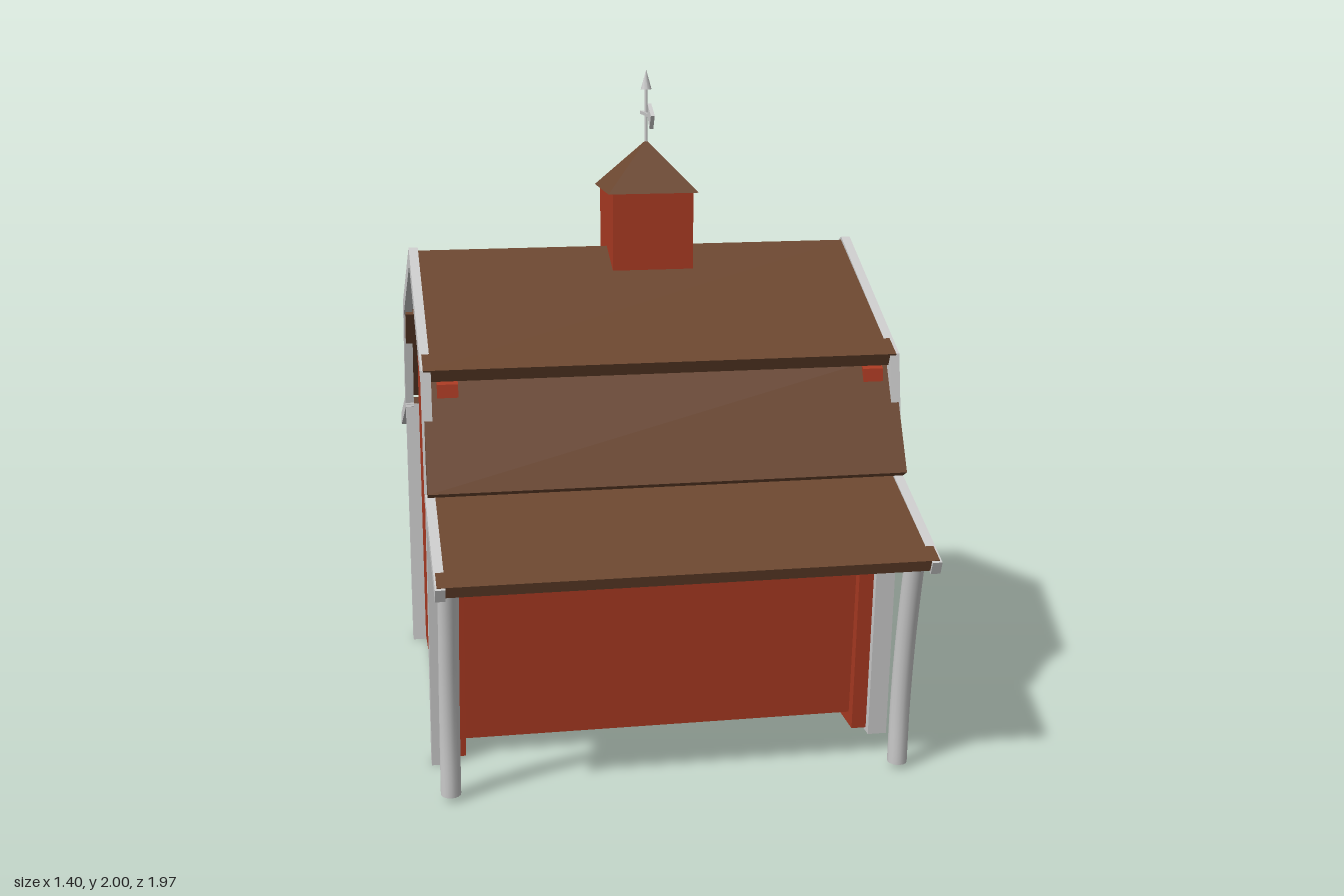
import * as THREE from 'three';

const mat = (name, color) => new THREE.MeshStandardMaterial({ name, color });

export function createModel() {
  const red = mat('barn red', 0xaa3a22);
  const brown = mat('roof brown', 0x6c4730);
  const white = mat('trim white', 0xcccccc);
  const dark = mat('window dark', 0x2a220f);
  const barn = new THREE.Group();
  barn.name = 'barn';

  const add = (name, geo, material, parent = barn) => {
    const mesh = new THREE.Mesh(geo, material);
    mesh.name = name;
    parent.add(mesh);
    return mesh;
  };
  const box = (name, material, w, h, d, x, y, z, parent) => {
    const mesh = add(name, new THREE.BoxGeometry(w, h, d), material, parent);
    mesh.position.set(x, y, z);
    return mesh;
  };
  // Prism along x from a cross-section of [z, y] points
  const prism = (name, material, pts, x0, x1) => {
    const shape = new THREE.Shape(pts.map(([z, y]) => new THREE.Vector2(-z, y)));
    const geo = new THREE.ExtrudeGeometry(shape, { depth: x1 - x0, bevelEnabled: false });
    return add(name, geo.rotateY(Math.PI / 2).translate(x0, 0, 0), material);
  };
  // Sloping board whose outer line runs from p to q, on side s of the ridge
  const slab = (name, material, p, q, t, s, x0, x1) => {
    const dz = q[0] - p[0], dy = q[1] - p[1], len = Math.hypot(dz, dy);
    const nz = (dy / len) * t, ny = (-dz / len) * t;
    const pts = [p, q, [q[0] + nz, q[1] + ny], [p[0] + nz, p[1] + ny]];
    prism(name, material, pts.map(([z, y]) => [z * s, y]), x0, x1);
  };
  const mirrored = half => [...half, ...half.slice().reverse().map(([z, y]) => [-z, y])];

  // Walls: inset body between two thick gable ends
  prism('body', red, mirrored([[0.485, 0.055], [0.55, 0.83], [0.49, 1.14], [0.01, 1.38]]), -0.61, 0.61);
  const gable = mirrored([[0.52, 0.015], [0.58, 0.83], [0.533, 1.155], [0.003, 1.42]]);
  prism('gableRight', red, gable, 0.595, 0.655);
  prism('gableLeft', red, gable, -0.655, -0.595);

  // Roof panels, gable trim and corner boards
  for (const s of [1, -1]) {
    slab('upperRoof', brown, [0, 1.458], [0.548, 1.2], 0.04, s, -0.694, 0.69);
    slab('steepRoof', brown, [0.5, 1.19], [0.668, 0.872], 0.04, s, -0.695, 0.695);
    slab('porchRoof', brown, [0.57, 0.861], [0.98, 0.706], 0.035, s, -0.695, 0.695);
    for (const [x0, x1] of [[0.672, 0.7], [-0.7, -0.672]]) {
      slab('upperTrim', white, [0, 1.468], [0.545, 1.2], 0.05, s, x0, x1);
      slab('steepTrim', white, [0.545, 1.2], [0.605, 0.85], 0.045, s, x0, x1);
      slab('porchTrim', white, [0.57, 0.868], [0.987, 0.702], 0.04, s, x0, x1);
    }
    const corner = [[0.5, 0.003], [0.545, 0.003], [0.603, 0.84], [0.558, 0.84]].map(([z, y]) => [z * s, y]);
    prism('cornerBoard', white, corner, 0.64, 0.698);
    prism('cornerBoard', white, corner, -0.698, -0.64);
  }

  // Curved porch posts
  for (const [x, s] of [[0.658, 1], [-0.658, 1], [0.658, -1]]) {
    const path = new THREE.CatmullRomCurve3([[0.885, 0.715], [0.845, 0.55], [0.81, 0.37], [0.787, 0.19], [0.778, 0.02]]
      .map(([z, y]) => new THREE.Vector3(x, y, z * s)));
    add('porchPost', new THREE.TubeGeometry(path, 14, 0.029, 16), white);
    add('postFoot', new THREE.CircleGeometry(0.029, 16).rotateX(Math.PI / 2).translate(x, 0.02, 0.778 * s), white);
  }

  // Back side room under the porch roof
  prism('sideRoom', red, [[-0.48, 0.06], [-0.87, 0.06], [-0.928, 0.7], [-0.56, 0.83]], -0.645, -0.09);

  // Framed window facing local +z
  const makeWindow = (name, depth) => {
    const g = new THREE.Group();
    g.name = name;
    box('pane', dark, 0.175, 0.15, 0.006, 0, 0, 0.003, g);
    for (const s of [1, -1]) {
      box('frameRail', white, 0.27, 0.033, depth, 0, s * 0.081, depth / 2, g);
      box('frameStile', white, 0.034, 0.15, depth, s * 0.1, 0, depth / 2, g);
    }
    barn.add(g);
    return g;
  };
  const loft = makeWindow('loftWindow', 0.03);
  loft.position.set(0.655, 1.008, 0.008);
  loft.rotation.y = Math.PI / 2;
  const side = makeWindow('sideRoomWindow', 0.022);
  side.position.set(-0.365, 0.455, -0.906);
  side.rotation.set(0.09, Math.PI, 0, 'YXZ');

  // Double door with crossed braces
  const door = new THREE.Group();
  door.name = 'door';
  door.position.set(0.655, 0, 0.005);
  door.rotation.y = Math.PI / 2;
  barn.add(door);
  box('doorTop', white, 0.5, 0.034, 0.03, 0, 0.703, 0.015, door);
  for (const x of [-0.234, 0, 0.234]) box('doorStile', white, 0.032, 0.69, 0.03, x, 0.36, 0.015, door);
  for (const c of [-0.117, 0.117]) {
    for (const s of [1, -1]) {
      const brace = box('doorBrace', white, 0.032, 0.69, 0.022, c, 0.355, 0.011, door);
      brace.rotation.z = s * Math.atan2(0.18, 0.67);
    }
  }

  // Cupola
  box('cupola', red, 0.25, 0.27, 0.255, 0.04, 1.505, -0.003);
  const cap = new THREE.ConeGeometry(0.14 * Math.SQRT2, 0.15, 4).rotateY(Math.PI / 4).toNonIndexed();
  cap.computeVertexNormals();
  add('cupolaRoof', cap, brown).position.set(0.04, 1.71, -0.003);

  // Weathervane
  const vane = new THREE.Group();
  vane.name = 'weathervane';
  vane.position.set(0.04, 0, -0.003);
  barn.add(vane);
  add('vaneRod', new THREE.CylinderGeometry(0.005, 0.005, 0.18, 8), white, vane).position.y = 1.86;
  add('vaneTip', new THREE.ConeGeometry(0.017, 0.06, 8), white, vane).position.y = 1.97;
  box('vaneArm', white, 0.01, 0.01, 0.16, 0, 1.864, 0.003, vane);
  const flag = prism('vaneFlag', white, [[0.057, 1.9], [0.117, 1.868], [0.092, 1.826], [0.062, 1.86]], -0.006, 0.006);
  vane.add(flag);

  return barn;
}
